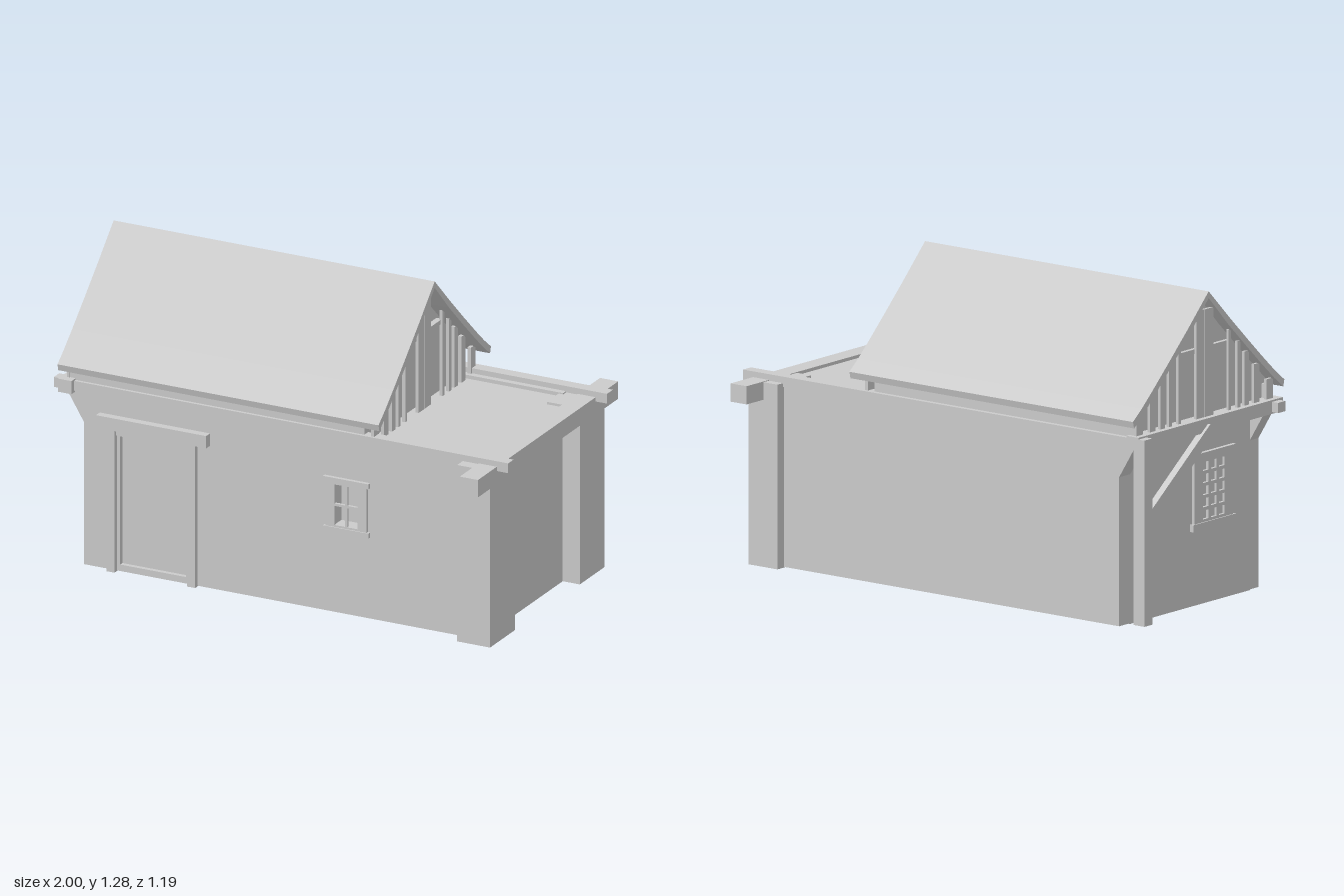
import * as THREE from 'three';

export function createModel() {
  const root = new THREE.Group();
  const mat = new THREE.MeshStandardMaterial({ color: 0xcccccc, flatShading: true });
  const Z0 = -0.008; // the house centre line

  const add = (name, geo, parent = root) => {
    const mesh = new THREE.Mesh(geo, mat);
    mesh.name = name;
    parent.add(mesh);
    return mesh;
  };
  // Box given by its limits on each axis
  const box = (name, x0, x1, y0, y1, z0, z1, parent = root) => {
    const mesh = add(name, new THREE.BoxGeometry(x1 - x0, y1 - y0, z1 - z0), parent);
    mesh.position.set((x0 + x1) / 2, (y0 + y1) / 2, (z0 + z1) / 2);
    return mesh;
  };
  const shapeOf = pts => new THREE.Shape(pts.map(p => new THREE.Vector2(...p)));
  const rectPath = (x0, x1, y0, y1) => new THREE.Path(
    [[x0, y0], [x0, y1], [x1, y1], [x1, y0]].map(p => new THREE.Vector2(...p)));
  const extrude = (shape, depth) => new THREE.ExtrudeGeometry(shape, { depth, bevelEnabled: false });

  // Solid lower storey
  box('body', -0.87, 0.87, 0, 0.73, Z0 - 0.38, Z0 + 0.38);

  // Long walls with a corbel at the left end; the front one has a door opening
  const wallPts = [[-0.87, 0.003], [0.82, 0.003], [0.82, 0.745], [-0.94, 0.745], [-0.94, 0.715], [-0.87, 0.6]];
  const frontShape = shapeOf(wallPts);
  frontShape.holes.push(rectPath(-0.71, -0.42, 0.03, 0.57));
  frontShape.holes.push(rectPath(0.235, 0.34, 0.37, 0.54));
  add('frontWall', extrude(frontShape, 0.055)).position.z = 0.372;
  add('backWall', extrude(shapeOf(wallPts), 0.07)).position.z = -0.45;

  // Door with jambs and lintel
  const door = new THREE.Group();
  door.name = 'door';
  root.add(door);
  box('doorLeaf', -0.72, -0.41, 0.02, 0.58, 0.37, 0.408, door);
  for (const x of [-0.76, -0.405]) box('doorJamb', x, x + 0.035, 0, 0.6, 0.41, 0.447, door);
  box('doorHead', -0.725, -0.405, 0.57, 0.6, 0.41, 0.432, door);
  box('doorLintel', -0.8, -0.315, 0.6, 0.652, 0.41, 0.46, door);

  // Window: frame with a grid of panes, plus wider head and sill
  const makeWindow = (name, cols, rows) => {
    const g = new THREE.Group();
    g.name = name;
    const frame = shapeOf([[-0.09, -0.1], [0.09, -0.1], [0.09, 0.1], [-0.09, 0.1]]);
    const w = 0.112 / cols, h = 0.18 / rows, gap = 0.005;
    for (let i = 0; i < cols; i++) for (let j = 0; j < rows; j++) {
      const x = -0.056 + i * w, y = -0.09 + j * h;
      frame.holes.push(rectPath(x + gap, x + w - gap, y + gap, y + h - gap));
    }
    add('windowFrame', extrude(frame, 0.012), g);
    box('windowHead', -0.1, 0.1, 0.093, 0.114, 0, 0.017, g);
    box('windowSill', -0.1, 0.1, -0.114, -0.093, 0, 0.017, g);
    root.add(g);
    return g;
  };
  makeWindow('frontWindow', 2, 2).position.set(0.29, 0.457, 0.426);
  const side = makeWindow('sideWindow', 3, 5);
  side.scale.set(1.35, 1.35, 1);
  side.rotation.y = -Math.PI / 2;
  side.position.set(-0.87, 0.455, 0.13);

  // Heavy corner piers at the right end and the beam across them
  box('frontPier', 0.8, 0.945, 0, 0.74, 0.27, 0.48);
  box('backPier', 0.8, 0.945, 0, 0.74, -0.49, -0.28);
  box('rightCrossbeam', 0.87, 0.95, 0.67, 0.743, -0.596, 0.592);

  // Long plates on the walls and the left crossbeam
  box('frontPlate', -1, 1, 0.725, 0.766, 0.386, 0.432);
  box('backPlate', -1, 1, 0.725, 0.766, -0.455, -0.405);
  box('leftCrossbeam', -0.97, -0.91, 0.718, 0.773, -0.455, 0.455);

  // Post with its diagonal brace at the back left corner
  box('cornerPost', -1, -0.945, 0.02, 0.73, -0.455, -0.405);
  const brace = box('postBrace', -0.015, 0.015, -0.025, 0.025, -0.26, 0.26);
  brace.position.set(-0.967, 0.575, -0.21);
  brace.rotation.x = -Math.atan2(0.3, 0.4);

  // Roof: slightly hollow slopes, drawn in the z-y plane and run along x
  const slope = [[0, 1.278], [0.13, 1.151], [0.25, 1.038], [0.35, 0.946], [0.42, 0.884], [0.476, 0.84]];
  const roofY = z => {
    const a = Math.min(Math.abs(z), 0.475);
    const i = slope.findIndex((p, k) => k > 0 && p[0] >= a);
    const [p, q] = [slope[i - 1], slope[i]];
    return p[1] + (q[1] - p[1]) * (a - p[0]) / (q[0] - p[0]);
  };
  const alongX = (name, pts, x0, x1) => {
    const mesh = add(name, extrude(shapeOf(pts), x1 - x0));
    mesh.rotation.y = Math.PI / 2;
    mesh.position.set(x0, 0, Z0 + 0.004);
    return mesh;
  };
  const flip = pts => pts.map(([z, y]) => [-z, y]).reverse();
  const under = slope.map(([z, y]) => [z === 0 ? 0 : z - 0.007, y - 0.027]);
  const outer = [...flip(slope), ...slope.slice(1)];
  const inner = [...flip(under), ...under.slice(1)];
  alongX('roof', [...outer, ...inner.reverse()], -0.963, 0.45);

  // Attic storey under the roof
  const atticTop = [-0.42, -0.35, -0.25, -0.13, 0, 0.13, 0.25, 0.35, 0.42].map(z => [z, roofY(z) - 0.022]);
  alongX('attic', [[-0.42, 0.72], ...atticTop, [0.42, 0.72]], -0.91, 0.36);
  for (const s of [-1, 1])
    box('kneeWall', -0.94, 0.36, 0.74, 0.83, Z0 + s * 0.415 - 0.012, Z0 + s * 0.415 + 0.012);

  // Gable boarding at both ends: mirrored upright boards and a tie
  const boards = [[0, 0.053], [0.15, 0.165], [0.205, 0.225], [0.25, 0.278], [0.31, 0.345], [0.388, 0.43]];
  for (const [x0, x1] of [[0.36, 0.405], [-0.947, -0.91]]) {
    const gable = new THREE.Group();
    gable.name = 'gable';
    root.add(gable);
    for (const s of [-1, 1]) for (const [a, b] of boards) {
      const za = Z0 + s * (a + (a ? 0 : 0.002)), zb = Z0 + s * b;
      const top = roofY(b) - 0.022;
      box('gableBoard', x0 + (x0 > 0 ? 0.03 : 0), x1 - (x0 < 0 ? 0.025 : 0), 0.735, top,
        Math.min(za, zb), Math.max(za, zb), gable);
    }
    box('gableTie', x0 + 0.01, x1 - 0.01, 1.033, 1.052, Z0 - 0.165, Z0 + 0.165, gable);
  }
  return root;
}
